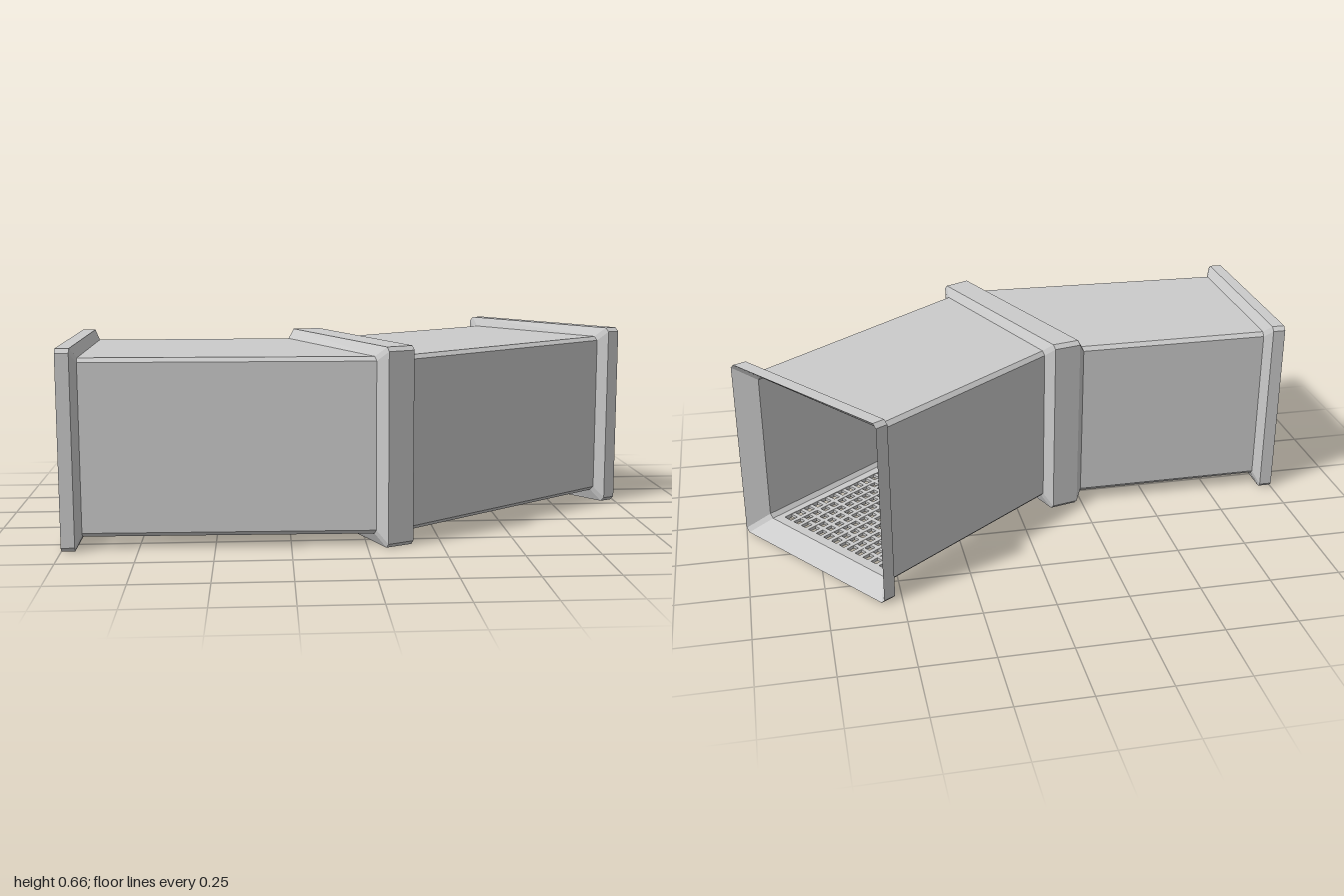
import * as THREE from 'three';

const WALL = 0.015, DUCT_Y0 = 0.04, DUCT_Y1 = 0.63, RIM_Y0 = 0, RIM_Y1 = 0.664, CHAMFER = 0.014;
const grey = new THREE.MeshStandardMaterial({ color: 0xcccccc, flatShading: true });

// Upright chamfered rectangle spanning the plan points back and front ([x, z])
function ring(back, front, y0, y1, inset = 0) {
  const len = Math.hypot(front[0] - back[0], front[1] - back[1]);
  const dx = (front[0] - back[0]) / len, dz = (front[1] - back[1]) / len;
  const a = inset, b = len - inset, c = CHAMFER, lo = y0 + inset, hi = y1 - inset;
  return [
    [a + c, lo], [b - c, lo], [b, lo + c], [b, hi - c],
    [b - c, hi], [a + c, hi], [a, hi - c], [a, lo + c],
  ].map(([s, y]) => new THREE.Vector3(back[0] + dx * s, y, back[1] + dz * s));
}
const ductRing = ([b, f], inset) => ring(b, f, DUCT_Y0, DUCT_Y1, inset);
const rimRing = ([b, f]) => ring(b, f, RIM_Y0, RIM_Y1);

// Skin between successive closed loops; closed joins the last loop to the first
function loft(loops, closed, name) {
  const pos = [], n = loops[0].length;
  for (let i = 0; i < loops.length - (closed ? 0 : 1); i++) {
    const p = loops[i], q = loops[(i + 1) % loops.length];
    for (let j = 0; j < n; j++) {
      const k = (j + 1) % n;
      for (const v of [p[j], q[j], q[k], p[j], q[k], p[k]]) pos.push(v.x, v.y, v.z);
    }
  }
  const geo = new THREE.BufferGeometry();
  geo.setAttribute('position', new THREE.Float32BufferAttribute(pos, 3));
  geo.computeVertexNormals();
  const mesh = new THREE.Mesh(geo, grey);
  mesh.name = name;
  return mesh;
}

// Square grid of crossing bars, filling the floor opening
function floorGrate(size, name) {
  const group = new THREE.Group(), count = 13, pitch = size / count, bar = 0.016;
  group.name = name;
  for (let i = 1; i < count; i++) {
    const at = -size / 2 + i * pitch;
    const along = new THREE.Mesh(new THREE.BoxGeometry(size, WALL * 0.8, bar), grey);
    along.position.z = at;
    const across = new THREE.Mesh(new THREE.BoxGeometry(bar, WALL * 0.7, size), grey);
    across.position.x = at;
    group.add(along, across);
  }
  return group;
}

// Duct length: walls and roof as a thick C section, plus a floor with a grated opening
function duct(start, end, centre, angle, side) {
  const group = new THREE.Group(), size = 0.53;
  group.name = side + 'Duct';
  const section = (s) => {
    const open = (r) => [...r.slice(1), r[0]];
    return [...open(ductRing(s)), ...open(ductRing(s, WALL)).reverse()];
  };
  group.add(loft([section(start), section(end)], false, side + 'WallsAndRoof'));

  const a = ductRing(start), b = ductRing(end);
  const plan = new THREE.Shape([a[0], b[0], b[1], a[1]].map((v) => new THREE.Vector2(v.x, v.z)));
  const h = size / 2, mid = new THREE.Vector2(...centre), origin = new THREE.Vector2();
  plan.holes.push(new THREE.Path([[-h, -h], [-h, h], [h, h], [h, -h]].map(([x, z]) =>
    new THREE.Vector2(x, z).rotateAround(origin, angle).add(mid))));
  const geo = new THREE.ExtrudeGeometry(plan, { depth: WALL, bevelEnabled: false });
  geo.rotateX(Math.PI / 2);
  const floor = new THREE.Mesh(geo, grey);
  floor.name = side + 'Floor';
  floor.position.y = DUCT_Y0 + WALL;
  const grate = floorGrate(size, side + 'FloorGrate');
  grate.position.set(centre[0], DUCT_Y0 + WALL / 2, centre[1]);
  grate.rotation.y = -angle;
  group.add(floor, grate);
  return group;
}

export function createModel() {
  const model = new THREE.Group();
  model.name = 'bentAirDuct';

  // Plan stations, each a back and a front point
  const rightEnd = [
    [[-1, -0.115], [-1, 0.605]],
    [[-0.955, -0.115], [-0.955, 0.605]],
    [[-0.935, -0.075], [-0.935, 0.57]],
  ];
  const elbow = [
    [[-0.247, -0.08], [0.03, 0.592]],
    [[-0.228, -0.1], [0.067, 0.628]],
    [[-0.132, -0.123], [0.154, 0.583]],
    [[-0.1, -0.09], [0.154, 0.542]],
  ];
  const leftEnd = [
    [[0.537, -0.572], [0.92, -0.055]],
    [[0.524, -0.61], [0.957, -0.033]],
    [[0.563, -0.634], [1, -0.056]],
  ];

  model.add(duct(rightEnd[2], elbow[0], [-0.635, 0.25], 0, 'right'));
  model.add(duct(elbow[3], leftEnd[0], [0.49, -0.13], -0.645, 'left'));

  // End rims, funnelled into the openings
  model.add(loft([rimRing(rightEnd[0]), rimRing(rightEnd[1]), ductRing(rightEnd[2]),
    ductRing(rightEnd[2], WALL)], true, 'rightRim'));
  model.add(loft([ductRing(leftEnd[0]), rimRing(leftEnd[1]), rimRing(leftEnd[2]),
    ductRing(leftEnd[0], WALL)], true, 'leftRim'));

  // Collar at the bend
  model.add(loft([ductRing(elbow[0]), rimRing(elbow[1]), rimRing(elbow[2]), ductRing(elbow[3]),
    ductRing(elbow[3], WALL), ductRing(elbow[0], WALL)], true, 'elbowCollar'));
  return model;
}
